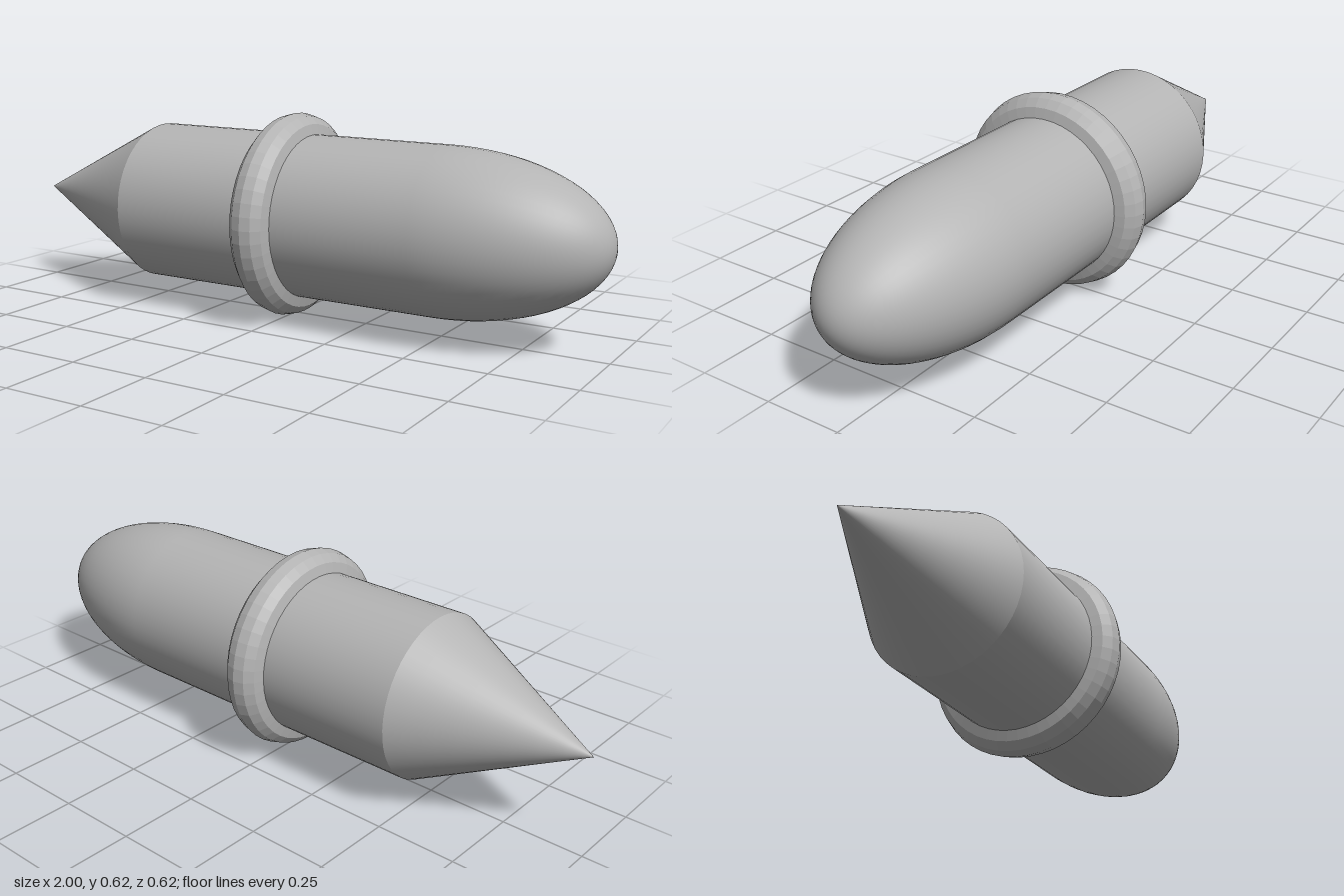
import * as THREE from 'three';

const RADIUS = 0.25, TUBE = 0.0625, SIDES = 48;

export function createModel() {
  const model = new THREE.Group();
  model.name = 'model';
  const grey = new THREE.MeshStandardMaterial({ color: 0xb4b4b4 });
  grey.name = 'grey';
  const ringGrey = grey; // one colour throughout

  // every part turns around the long axis, which runs along x
  const add = (name, geometry, x) => {
    const mesh = new THREE.Mesh(geometry, ringGrey);
    mesh.name = name;
    mesh.position.set(x, RADIUS + TUBE, 0);
    model.add(mesh);
  };

  // straight barrel
  add('body', new THREE.CylinderGeometry(RADIUS, RADIUS, 1, SIDES, 1, true).rotateZ(-Math.PI / 2), 0);

  // half ellipsoid nose, twice as long as it is wide
  const nose = new THREE.SphereGeometry(RADIUS, SIDES, 20, 0, Math.PI * 2, 0, Math.PI / 2);
  add('roundedNose', nose.scale(1, 2, 1).rotateZ(-Math.PI / 2), 0.5);

  // pointed end
  add('pointedTail', new THREE.ConeGeometry(RADIUS, 0.5, SIDES, 8, true).rotateZ(Math.PI / 2), -0.75);

  // faceted collar around the middle
  const ring = new THREE.TorusGeometry(RADIUS, TUBE, 12, SIDES).rotateY(Math.PI / 2).toNonIndexed();
  ring.computeVertexNormals();
  add('collarRing', ring, 0);

  return model;
}
